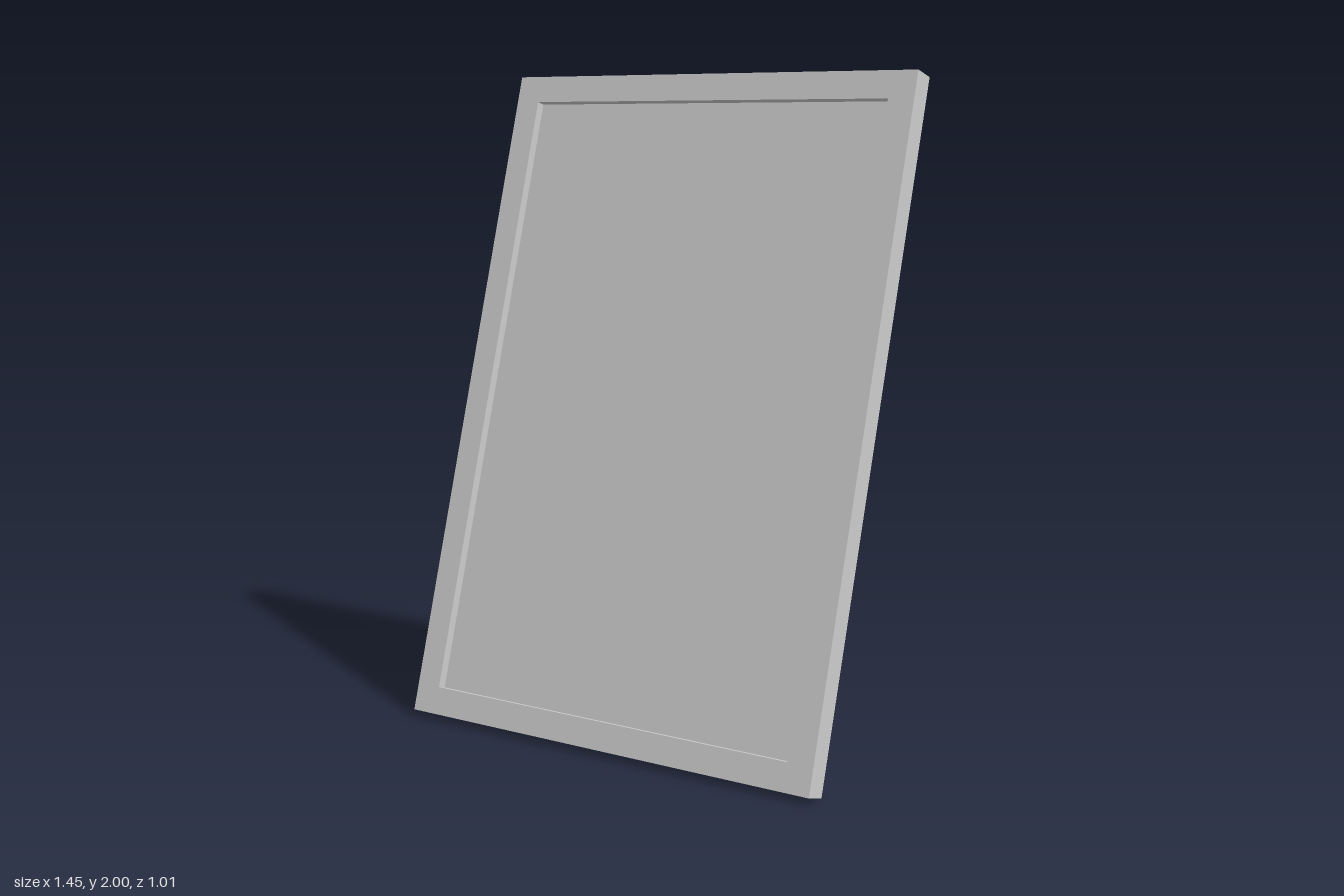
import * as THREE from 'three';

const material = new THREE.MeshStandardMaterial({ color: 0xcccccc, flatShading: true });

const WIDTH = 1.445, HEIGHT = 2.062, THICK = 0.072; // tilted frame slab
const BORDER = 0.084, RECESS = 0.028;
const TILT = 0.283;

function named(name, geometry) {
  const mesh = new THREE.Mesh(geometry, material);
  mesh.name = name;
  return mesh;
}

// Rectangle centred on x, inset evenly from the frame's outline
function outline(Type, inset) {
  const x = WIDTH / 2 - inset, y0 = inset, y1 = HEIGHT - inset;
  return new Type([[-x, y0], [x, y0], [x, y1], [-x, y1]].map(p => new THREE.Vector2(...p)));
}

// Flat slab from a counterclockwise loop of back corners, thickened toward +z
function slab(corners, depth) {
  const n = corners.length, index = [];
  const points = [...corners, ...corners.map(([x, y, z]) => [x, y, z + depth])];
  for (let i = 1; i < n - 1; i++) index.push(0, i, i + 1, n, n + i + 1, n + i);
  for (let i = 0; i < n; i++) {
    const j = (i + 1) % n;
    index.push(j, i, n + i, j, n + i, n + j);
  }
  const indexed = new THREE.BufferGeometry();
  indexed.setAttribute('position', new THREE.Float32BufferAttribute(points.flat(), 3));
  indexed.setIndex(index);
  const geometry = indexed.toNonIndexed();
  geometry.computeVertexNormals();
  return geometry;
}

export function createModel() {
  const model = new THREE.Group();
  model.name = 'pictureFrame';

  // Leaning frame: solid back panel with a raised border in front
  const frame = new THREE.Group();
  frame.name = 'frame';
  const backDepth = THICK - RECESS;
  const back = named('backPanel', new THREE.BoxGeometry(WIDTH, HEIGHT, backDepth));
  back.position.set(0, HEIGHT / 2, backDepth / 2);

  const rim = outline(THREE.Shape, 0);
  rim.holes.push(outline(THREE.Path, BORDER));
  const border = named('border', new THREE.ExtrudeGeometry(rim, { depth: RECESS, bevelEnabled: false }));
  border.position.z = backDepth;

  frame.add(back, border);
  frame.rotation.x = -TILT;
  frame.position.z = 0.433;
  model.add(frame);

  // Swung-out easel leg, its foot cut level with the ground
  model.add(named('easelLeg', slab([
    [0.015, 1.325, 0.03],
    [0.33, 1.27, 0.042],
    [-0.06, 0, -0.488],
    [-0.36, 0, -0.503],
    [-0.52, 0.255, -0.403],
  ], 0.034)));

  return model;
}
